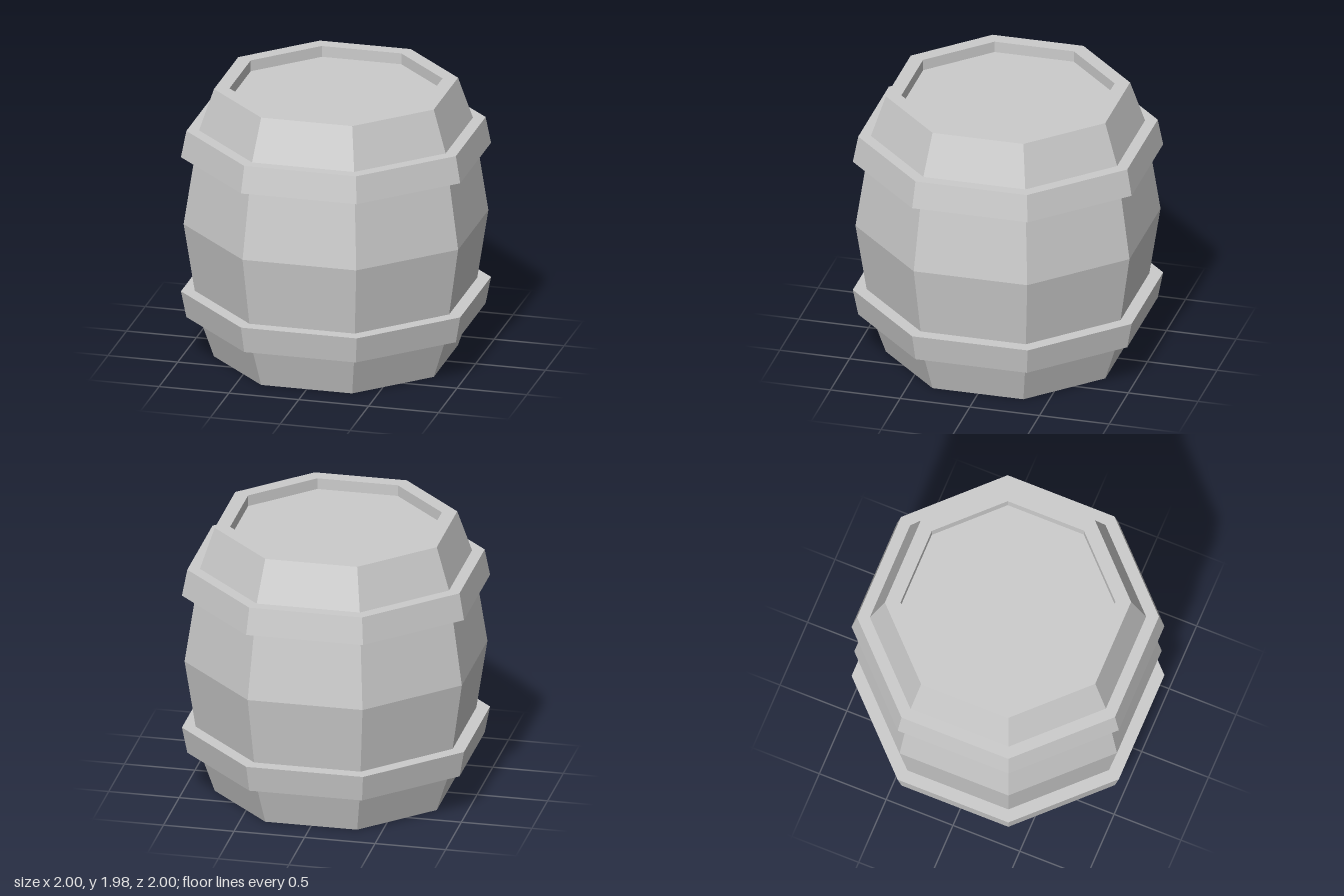
import * as THREE from 'three';

const material = new THREE.MeshStandardMaterial({ color: 0xcccccc, flatShading: true });
const HEIGHT = 1.975;

// Eight-sided turned part; the profile gives [centre-to-flat distance, y], outline from bottom to top
function octagonal(name, profile) {
  const points = profile.map(([r, y]) => new THREE.Vector2(r / Math.cos(Math.PI / 8), y));
  const mesh = new THREE.Mesh(new THREE.LatheGeometry(points, 8, Math.PI / 8), material);
  mesh.name = name;
  return mesh;
}

// Hoop with its ends tucked into the staves
function hoop(name, y0, r0, y1, r1) {
  return octagonal(name, [[0.86, y0], [r0, y0], [r1, y1], [0.86, y1]]);
}

export function createModel() {
  const barrel = new THREE.Group();
  barrel.name = 'barrel';

  // Bulging staves with a flat base, a rim and the inner wall of the recess
  barrel.add(octagonal('staves', [
    [0, 0], [0.787, 0], [0.883, 0.3], [0.983, HEIGHT / 2],
    [0.883, HEIGHT - 0.3], [0.787, HEIGHT], [0.687, HEIGHT], [0.687, HEIGHT - 0.08],
  ]));

  // Sunken lid
  barrel.add(octagonal('lid', [[0.687, HEIGHT - 0.08], [0, HEIGHT - 0.08]]));

  // Two hoops, tapering away from the middle
  barrel.add(hoop('lowerHoop', 0.3, 0.965, 0.492, 1));
  barrel.add(hoop('upperHoop', HEIGHT - 0.492, 1, HEIGHT - 0.3, 0.965));

  return barrel;
}
